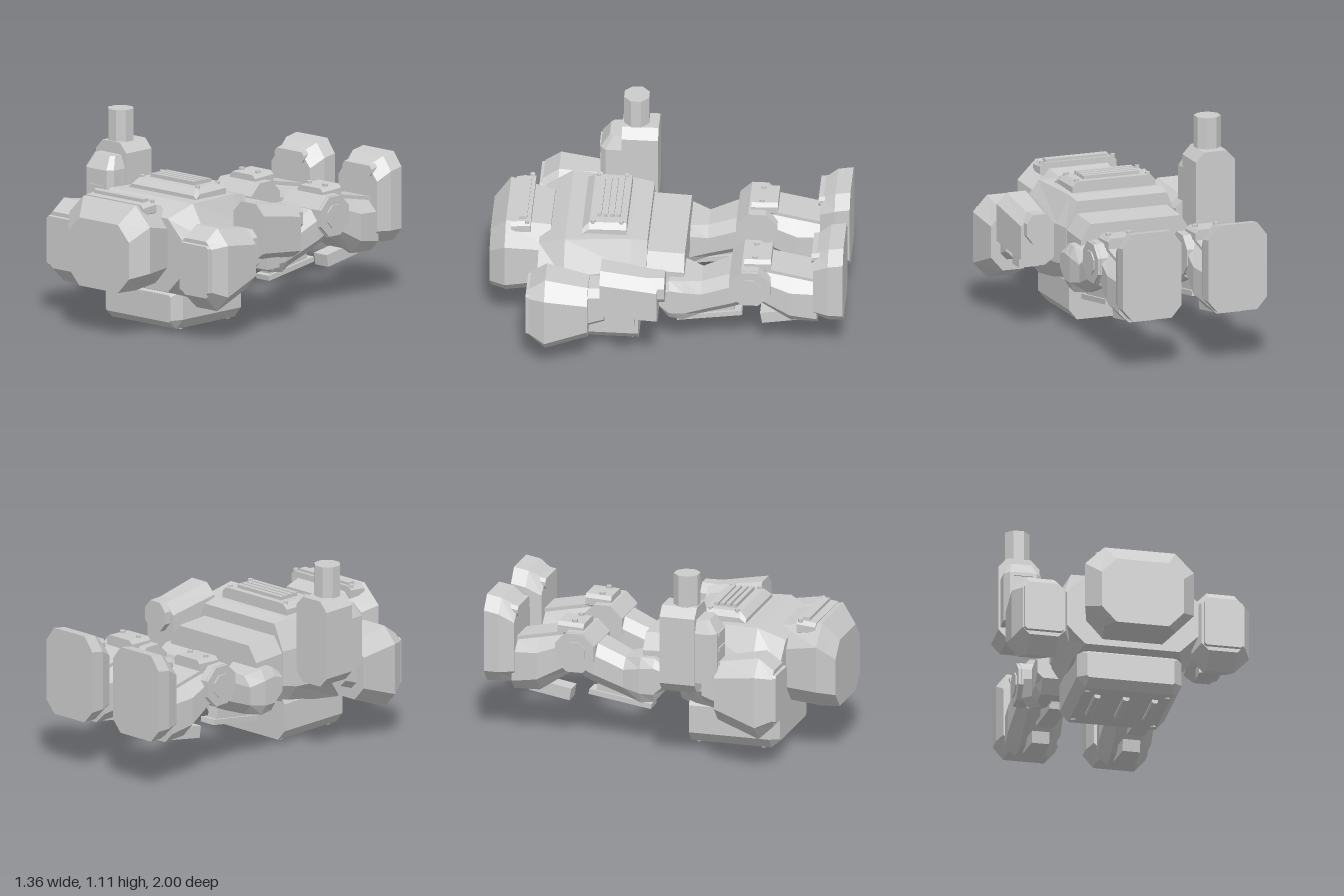
import * as THREE from 'three';

const grey = new THREE.MeshStandardMaterial({ color: 0xcccccc });
grey.name = 'armour grey';
grey.flatShading = true;

// Loft of chamfered rectangles along z.
// Section: [z, x0, x1, y0, y1, chamferX, chamferTop, chamferBottom]; side -1 mirrors in x.
function loft(name, sections, side = 1) {
  const rings = [...sections].sort((a, b) => a[0] - b[0]).map(([z, a, b, y0, y1, c, t, u]) => {
    const [x0, x1] = side < 0 ? [-b, -a] : [a, b];
    return [[x0 + c, y0], [x1 - c, y0], [x1, y0 + u], [x1, y1 - t],
      [x1 - c, y1], [x0 + c, y1], [x0, y1 - t], [x0, y0 + u]].map(([x, y]) => [x, y, z]);
  });
  const pos = [];
  const tri = (...p) => p.forEach((v) => pos.push(...v));
  for (let i = 0; i < rings.length - 1; i++) {
    for (let j = 0; j < 8; j++) {
      const k = (j + 1) % 8, r = rings[i], q = rings[i + 1];
      tri(r[j], r[k], q[k]);
      tri(r[j], q[k], q[j]);
    }
  }
  const first = rings[0], last = rings[rings.length - 1];
  for (let j = 1; j < 7; j++) {
    tri(last[0], last[j], last[j + 1]);
    tri(first[0], first[j + 1], first[j]);
  }
  const g = new THREE.BufferGeometry();
  g.setAttribute('position', new THREE.Float32BufferAttribute(pos, 3));
  g.computeVertexNormals();
  const m = new THREE.Mesh(g, grey);
  m.name = name;
  return m;
}

function box(name, w, h, d, x, y, z, tilt = 0) {
  const m = new THREE.Mesh(new THREE.BoxGeometry(w, h, d), grey);
  m.name = name;
  m.position.set(x, y, z);
  m.rotation.x = tilt;
  return m;
}

function cylinder(name, r, len, x, y, z, sides, axis = 'y') {
  const g = new THREE.CylinderGeometry(r, r, len, sides);
  g.rotateY(Math.PI / sides);
  if (axis === 'x') g.rotateZ(Math.PI / 2);
  const m = new THREE.Mesh(g, grey);
  m.name = name;
  m.position.set(x, y, z);
  return m;
}

function group(name, ...parts) {
  const g = new THREE.Group();
  g.name = name;
  g.add(...parts);
  return g;
}

function makeHead() {
  const head = group('head',
    loft('headShell', [
      [1, -0.235, 0.235, 0.27, 0.66, 0.085, 0.09, 0.09],
      [0.91, -0.312, 0.312, 0.28, 0.765, 0.11, 0.11, 0.11],
      [0.66, -0.25, 0.25, 0.29, 0.72, 0.09, 0.12, 0.1]]),
    loft('browVent', [
      [0.88, -0.23, 0.23, 0.7, 0.765, 0.02, 0.02, 0.01],
      [0.77, -0.23, 0.23, 0.7, 0.775, 0.02, 0.02, 0.01]]),
    box('browSlot', 0.38, 0.02, 0.045, 0, 0.778, 0.815));
  for (const s of [-1, 1]) head.add(cylinder('browBolt', 0.014, 0.02, s * 0.215, 0.774, 0.79, 8));
  return head;
}

function makeTorso() {
  const torso = group('torso',
    loft('chest', [
      [0.72, -0.4, 0.4, 0.25, 0.67, 0.13, 0.13, 0.13],
      [0.57, -0.43, 0.43, 0.2, 0.74, 0.11, 0.19, 0.15],
      [0.2, -0.355, 0.355, 0.24, 0.735, 0.075, 0.16, 0.11],
      [0.11, -0.335, 0.335, 0.27, 0.72, 0.065, 0.15, 0.1]]),
    loft('waist', [
      [0.13, -0.33, 0.33, 0.33, 0.65, 0.06, 0.09, 0.08],
      [-0.1, -0.33, 0.33, 0.38, 0.64, 0.06, 0.09, 0.08]]),
    // hatch block on the underside
    loft('bellyBlock', [
      [0.68, -0.25, 0.25, 0.065, 0.22, 0.01, 0.01, 0.01],
      [0.63, -0.3, 0.3, 0.022, 0.26, 0.05, 0.01, 0.06],
      [0.16, -0.3, 0.3, 0.022, 0.34, 0.05, 0.1, 0.06]]),
    // raised vent on the chest
    loft('ventBase', [
      [0.48, -0.26, 0.26, 0.7, 0.76, 0.02, 0.02, 0.01],
      [0.44, -0.25, 0.25, 0.7, 0.795, 0.03, 0.03, 0.01],
      [0.23, -0.25, 0.25, 0.7, 0.8, 0.03, 0.03, 0.01]]));
  for (let i = 0; i < 4; i++) torso.add(box('ventSlat', 0.34, 0.022, 0.024, 0, 0.808, 0.28 + i * 0.036));
  for (const x of [-0.165, 0, 0.165]) {
    torso.add(loft('bellyRail', [
      [0.55, x - 0.018, x + 0.018, 0, 0.03, 0.008, 0.005, 0.008],
      [0.3, x - 0.018, x + 0.018, 0, 0.03, 0.008, 0.005, 0.008]]));
  }
  for (const s of [-1, 1]) {
    for (const z of [0.26, 0.42]) torso.add(cylinder('ventBolt', 0.014, 0.02, s * 0.215, 0.798, z, 8));
    for (const z of [0.2, 0.58]) torso.add(cylinder('bellyBolt', 0.015, 0.025, s * 0.23, 0.028, z, 8));
  }
  return torso;
}

// Shoulder pod with its front plate
function makeShoulder(s) {
  return group('shoulder',
    loft('shoulderPod', [
      [0.75, 0.39, 0.635, 0.265, 0.59, 0.04, 0.04, 0.04],
      [0.66, 0.35, 0.68, 0.18, 0.655, 0.085, 0.09, 0.09],
      [0.42, 0.4, 0.665, 0.275, 0.615, 0.07, 0.08, 0.08]], s),
    loft('shoulderPlate', [
      [0.768, 0.405, 0.625, 0.29, 0.565, 0.012, 0.012, 0.012],
      [0.74, 0.4, 0.63, 0.285, 0.57, 0.012, 0.012, 0.012]], s),
    loft('shoulderJoint', [
      [0.44, 0.41, 0.61, 0.33, 0.59, 0.04, 0.04, 0.04],
      [0.33, 0.41, 0.61, 0.37, 0.6, 0.04, 0.04, 0.04]], s));
}

function makeTrailingArm() {
  return group('trailingArm',
    loft('foreArm', [
      [0.35, 0.425, 0.66, 0.43, 0.745, 0.06, 0.06, 0.04],
      [0.03, 0.44, 0.64, 0.395, 0.69, 0.055, 0.06, 0.04]]),
    loft('foreArmEnd', [
      [0.08, 0.46, 0.625, 0.53, 0.7, 0.04, 0.05, 0.05],
      [-0.01, 0.465, 0.62, 0.53, 0.7, 0.04, 0.05, 0.05]]),
    box('grip', 0.12, 0.07, 0.1, 0.54, 0.39, 0.21));
}

function makeRaisedArm() {
  // Front panel is built along z, then stood upright: loft z becomes y, loft y becomes -z
  const panel = loft('armFrontPanel', [
    [0.865, -0.64, -0.485, -0.38, -0.28, 0.02, 0.02, 0.02],
    [0.79, -0.67, -0.455, -0.43, -0.28, 0.03, 0.02, 0.03],
    [0.5, -0.67, -0.455, -0.43, -0.28, 0.03, 0.02, 0.03]]);
  panel.rotation.x = -Math.PI / 2;
  const arm = group('raisedArm', panel,
    loft('armCase', [
      [0.31, -0.68, -0.445, 0.43, 0.93, 0.05, 0.055, 0.055],
      [0.105, -0.68, -0.445, 0.43, 0.93, 0.05, 0.055, 0.055]]),
    cylinder('barrel', 0.076, 0.2, -0.563, 1.01, 0.232, 8));
  for (const y of [0.605, 0.69, 0.78]) arm.add(box('armSlot', 0.11, 0.022, 0.02, -0.563, y, 0.427));
  return arm;
}

function makeLeg(s) {
  const leg = group('leg',
    loft('hip', [
      [0.04, 0.12, 0.4, 0.34, 0.48, 0.03, 0.03, 0.03],
      [-0.02, 0.12, 0.4, 0.265, 0.52, 0.03, 0.05, 0.05],
      [-0.1, 0.12, 0.4, 0.255, 0.52, 0.03, 0.06, 0.06]], s),
    loft('thigh', [
      [-0.1, 0.12, 0.4, 0.255, 0.52, 0.03, 0.06, 0.06],
      [-0.2, 0.14, 0.38, 0.275, 0.5, 0.05, 0.06, 0.06],
      [-0.37, 0.12, 0.395, 0.34, 0.575, 0.05, 0.06, 0.06],
      [-0.44, 0.12, 0.395, 0.37, 0.6, 0.05, 0.06, 0.06]], s),
    cylinder('knee', 0.125, 0.29, s * 0.26, 0.525, -0.475, 8, 'x'),
    cylinder('kneeCap', 0.122, 0.02, s * 0.412, 0.525, -0.475, 8, 'x'),
    cylinder('kneeHub', 0.07, 0.3, s * 0.28, 0.525, -0.475, 8, 'x'),
    loft('kneePlate', [
      [-0.44, 0.165, 0.36, 0.6, 0.675, 0.02, 0.02, 0.02],
      [-0.59, 0.165, 0.36, 0.6, 0.682, 0.02, 0.02, 0.02]], s),
    loft('shin', [
      [-0.5, 0.13, 0.39, 0.4, 0.62, 0.05, 0.05, 0.05],
      [-0.7, 0.11, 0.41, 0.265, 0.58, 0.07, 0.08, 0.08],
      [-0.85, 0.13, 0.4, 0.26, 0.55, 0.06, 0.06, 0.06]], s),
    box('shinPlate', 0.19, 0.02, 0.28, s * 0.265, 0.59, -0.695, -0.2),
    loft('foot', [
      [-0.83, 0.11, 0.41, 0.31, 0.745, 0.07, 0.08, 0.07],
      [-0.915, 0.08, 0.435, 0.305, 0.795, 0.06, 0.08, 0.07],
      [-1, 0.08, 0.435, 0.305, 0.81, 0.06, 0.08, 0.07]], s),
    loft('toeRidge', [
      [-0.82, 0.15, 0.375, 0.69, 0.75, 0.015, 0.02, 0.02],
      [-0.9, 0.15, 0.375, 0.69, 0.765, 0.015, 0.02, 0.02]], s),
    // narrow fins under the thigh and calf
    box('thighFin', 0.1, 0.03, 0.37, s * 0.26, 0.243, -0.24, 0.15),
    box('thighFinMount', 0.07, 0.08, 0.3, s * 0.26, 0.28, -0.23, 0.17),
    box('calfFin', 0.1, 0.07, 0.24, s * 0.26, 0.262, -0.65, 0.17));
  for (const d of [-0.062, 0.062]) leg.add(cylinder('kneeBolt', 0.016, 0.02, s * 0.262 + d, 0.682, -0.5, 8));
  return leg;
}

export function createModel() {
  const model = group('machine', makeHead(), makeTorso(), makeTrailingArm(), makeRaisedArm());
  for (const s of [-1, 1]) model.add(makeShoulder(s), makeLeg(s));
  return model;
}
